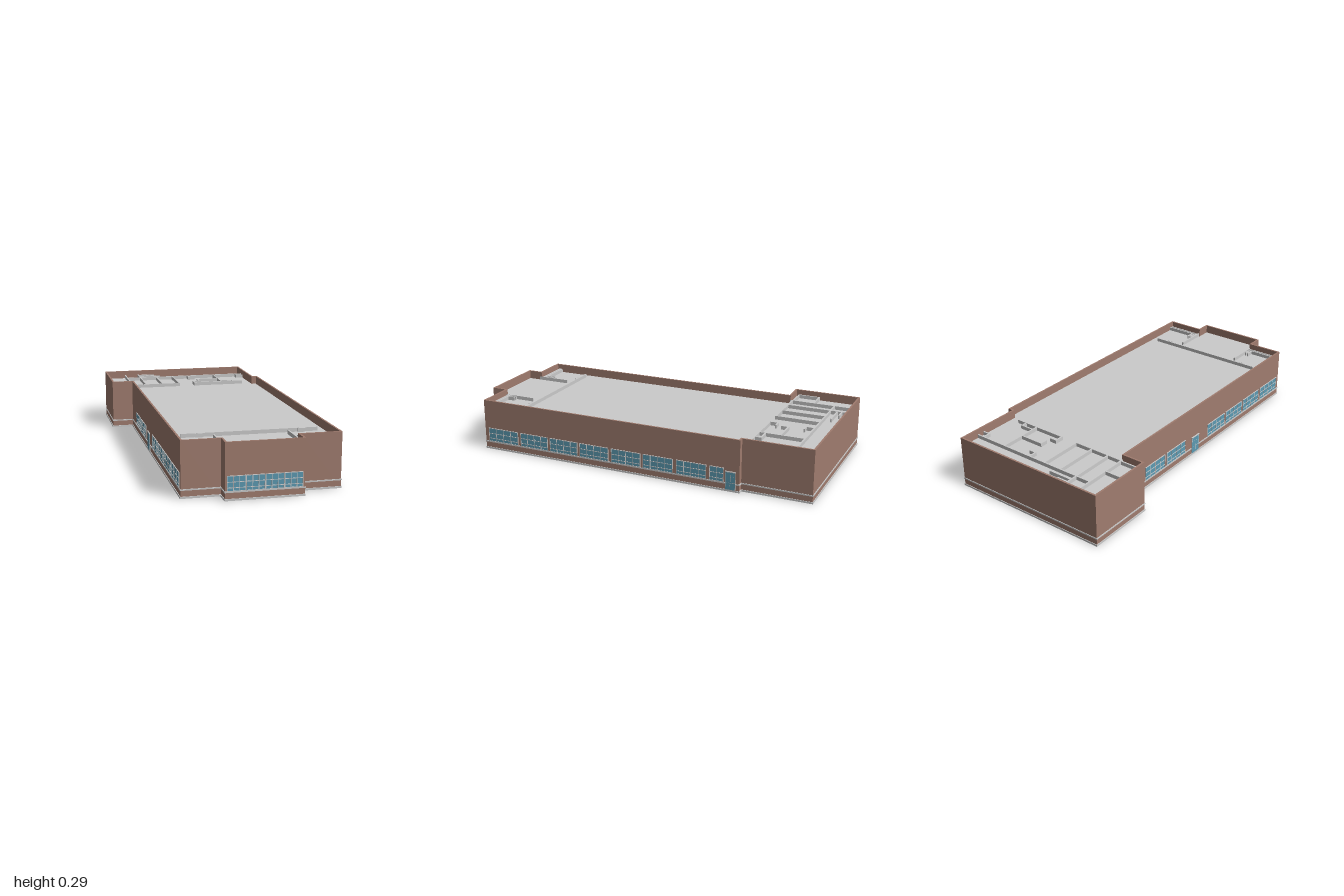
import * as THREE from 'three';

const mat = (color) => new THREE.MeshStandardMaterial({ color, roughness: 0.9, side: THREE.DoubleSide });
const brick = mat(0xa07c6f);
const grey = mat(0xcccccc);
const glass = mat(0x5c9ab2);

const HEIGHT = 0.287;
const DECK = 0.24;

// Building footprint as [x, -z], counter-clockwise
const footprint = [
  [-0.145, -0.997], [0.25, -0.997], [0.25, -0.915], [0.463, -0.915], [0.463, 0.62], [0.435, 0.62],
  [0.435, 0.997], [-0.465, 0.997], [-0.465, 0.62], [-0.342, 0.62], [-0.342, -0.915], [-0.145, -0.915],
];

// Move every edge of the right-angled outline outwards by d
function offset(points, d) {
  const n = points.length;
  return points.map((p, i) => {
    const a = points[(i + n - 1) % n], b = points[(i + 1) % n];
    const [ux, uy] = [Math.sign(p[0] - a[0]), Math.sign(p[1] - a[1])];
    const [vx, vy] = [Math.sign(b[0] - p[0]), Math.sign(b[1] - p[1])];
    return [p[0] + d * (uy + vy), p[1] - d * (ux + vx)];
  });
}

const toVectors = (points) => points.map(([x, y]) => new THREE.Vector2(x, y));

// Flat outline, with holes, raised from y0 to y1
function slab(name, outline, holes, y0, y1, material) {
  const shape = new THREE.Shape(toVectors(outline));
  holes.forEach((h) => shape.holes.push(new THREE.Path(toVectors(h))));
  const geometry = new THREE.ExtrudeGeometry(shape, { depth: y1 - y0, bevelEnabled: false });
  geometry.rotateX(-Math.PI / 2).translate(0, y0, 0);
  const mesh = new THREE.Mesh(geometry, material);
  mesh.name = name;
  return mesh;
}

function box(name, w, h, d, x, y, z, material) {
  const mesh = new THREE.Mesh(new THREE.BoxGeometry(w, h, d), material);
  mesh.name = name;
  mesh.position.set(x, y, z);
  return mesh;
}

// Glazed unit facing +z, base at y = 0, with a grid of glazing bars
function glazing(name, w, h, cols, rails) {
  const unit = new THREE.Group();
  unit.name = name;
  unit.add(box('glass', w, h, 0.004, 0, h / 2, 0, glass));
  const t = 0.003;
  for (let i = 0; i <= cols; i++) {
    unit.add(box('mullion', t, h, 0.006, -w / 2 + (i * w) / cols, h / 2, 0.001, grey));
  }
  [0, ...rails, 1].forEach((r) => unit.add(box('rail', w + t, t, 0.006, 0, r * h, 0.001, grey)));
  return unit;
}

// Partition tops standing above the deck: [x0, z0, x1, z1]
const partitions = [
  // rear rooms, right half
  [-0.335, -0.985, -0.335, -0.63], [-0.25, -0.985, -0.25, -0.645], [-0.145, -0.885, -0.145, -0.64],
  [-0.04, -0.885, -0.04, -0.64], [-0.335, -0.64, -0.04, -0.64], [-0.335, -0.885, 0.43, -0.885],
  [-0.25, -0.975, -0.15, -0.975], [-0.25, -0.95, -0.19, -0.95], [-0.24, -0.925, -0.12, -0.925],
  [-0.45, -0.765, -0.34, -0.765], [-0.45, -0.765, -0.45, -0.645], [-0.45, -0.645, -0.34, -0.645],
  // rear rooms, left half
  [0.06, -0.885, 0.06, -0.84], [0.06, -0.84, 0.095, -0.84], [0.06, -0.685, 0.06, -0.64],
  [0.06, -0.685, 0.095, -0.685], [0.06, -0.64, 0.365, -0.64], [0.235, -0.885, 0.235, -0.64],
  [0.1, -0.755, 0.235, -0.755], [0.1, -0.755, 0.1, -0.72], [0.235, -0.675, 0.31, -0.675],
  [0.31, -0.675, 0.31, -0.64], [0.385, -0.885, 0.385, -0.845], [0.385, -0.845, 0.425, -0.845],
  // front rooms
  [-0.29, 0.685, 0.41, 0.685], [-0.22, 0.695, -0.19, 0.695], [0.31, 0.695, 0.34, 0.695],
  [-0.137, 0.73, -0.137, 0.915], [0.248, 0.73, 0.248, 0.915],
  [-0.33, 0.877, -0.145, 0.877], [-0.33, 0.891, -0.145, 0.891],
  [0.255, 0.877, 0.45, 0.877], [0.255, 0.891, 0.45, 0.891],
  [-0.168, 0.835, -0.168, 0.877], [-0.152, 0.835, -0.152, 0.877],
  [0.264, 0.835, 0.264, 0.877], [0.28, 0.835, 0.28, 0.877],
];

export function createModel() {
  const model = new THREE.Group();
  model.name = 'building';

  // Outer walls, ledges and slabs
  const inner = offset(footprint, -0.01);
  model.add(slab('outerWalls', footprint, [inner], 0, HEIGHT, brick));
  const trim = offset(footprint, 0.003);
  model.add(slab('baseCourse', trim, [inner], 0, 0.01, grey));
  model.add(slab('sillCourse', trim, [inner], 0.04, 0.047, grey));
  model.add(slab('roofDeck', inner, [], DECK - 0.006, DECK, grey));
  const rect = (x0, x1, z0, z1) => [[x0, -z0], [x1, -z0], [x1, -z1], [x0, -z1]];
  const openings = [rect(-0.33, -0.27, -0.86, -0.66), rect(-0.295, -0.26, 0.39, 0.61)];
  model.add(slab('floor', inner, openings, 0, 0.006, grey));

  // Partition tops
  const rooms = new THREE.Group();
  rooms.name = 'partitions';
  const t = 0.008;
  for (const [x0, z0, x1, z1] of partitions) {
    rooms.add(box('partition', Math.abs(x1 - x0) + t, 0.02, Math.abs(z1 - z0) + t,
      (x0 + x1) / 2, DECK + 0.01, (z0 + z1) / 2, grey));
  }
  model.add(rooms);

  // Front bay windows
  for (let i = 0; i < 4; i++) {
    const win = glazing('frontWindow', 0.09, 0.074, 3, [0.22, 0.6]);
    win.position.set(-0.0895 + i * 0.0942, 0.048, 0.997);
    model.add(win);
  }

  // Long side windows: z ranges
  const shared = [[0.7, 0.89], [0.507, 0.68], [0.32, 0.49], [0.13, 0.303]];
  const sides = [
    { x: 0.463, turn: Math.PI / 2, door: [-0.598, -0.546],
      spans: [...shared, [-0.062, 0.11], [-0.249, -0.078], [-0.437, -0.271], [-0.533, -0.458]] },
    { x: -0.342, turn: -Math.PI / 2, door: [-0.025, 0.04],
      spans: [...shared, [-0.26, -0.09], [-0.45, -0.28]] },
  ];
  for (const { x, turn, door, spans } of sides) {
    const place = (unit, [z0, z1], y) => {
      unit.position.set(x, y, (z0 + z1) / 2);
      unit.rotation.y = turn;
      model.add(unit);
    };
    for (const s of spans) {
      const w = s[1] - s[0];
      place(glazing('sideWindow', w, 0.076, Math.round(w / 0.043), [0.22, 0.6]), s, 0.048);
    }
    // Door with a small lintel
    const entry = glazing('sideDoor', door[1] - door[0], 0.097, 2, [0.4, 0.75]);
    entry.children[0].scale.z = 2;
    entry.add(box('lintel', door[1] - door[0] + 0.006, 0.005, 0.01, 0, 0.099, 0.001, grey));
    place(entry, door, 0.01);
  }

  return model;
}
